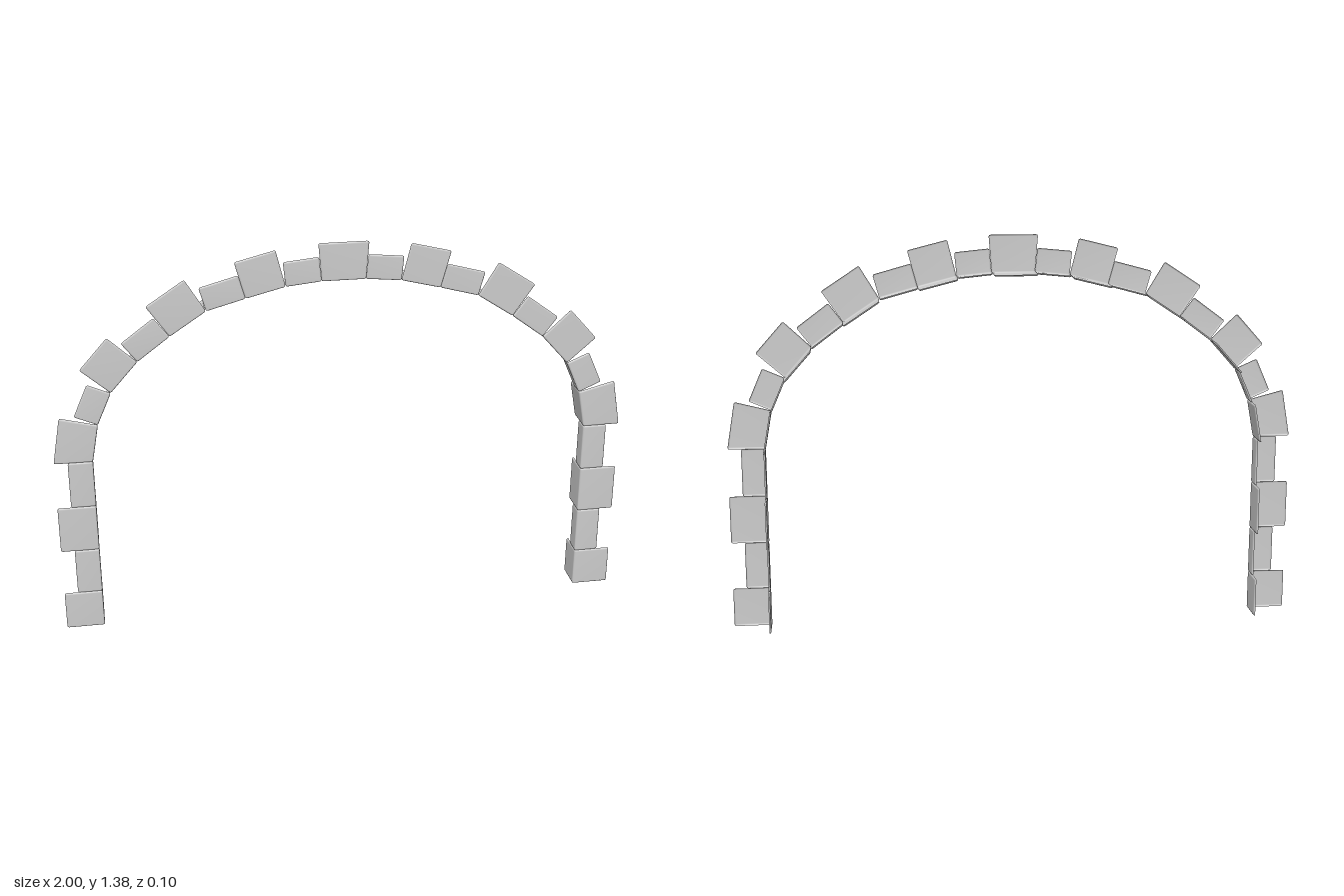
import * as THREE from 'three';

const FRONT = 0.052; // z of the front faces
const R = 0.006; // edge rounding
const material = new THREE.MeshStandardMaterial({ color: 0xcccccc, side: THREE.DoubleSide });

// Joints from the ground to the crown: x, y on the inner curve, direction of the joint in degrees
const joints = [
  [0.867, 0, 0], [0.867, 0.14, 0], [0.867, 0.308, 0], [0.867, 0.478, 0],
  [0.867, 0.648, 0], [0.842, 0.783, 14.6],
  [0.792, 0.897, 41.6], [0.698, 1.003, 43.4],
  [0.587, 1.086, 55.6], [0.463, 1.168, 59],
  [0.331, 1.204, 74.7], [0.196, 1.238, 76],
  [0.075, 1.25, 85.4], [-0.075, 1.25, 94.6],
];

const direction = (deg) => new THREE.Vector2(Math.cos(deg * Math.PI / 180), Math.sin(deg * Math.PI / 180));

// L-shaped shell stone: front face plus the face under the arch, with softly rounded edges
function stone(a, b, dirA, dirB, width, depth, name) {
  const back = FRONT - depth;
  // Section: outward distance, z, and the inset direction used at the ends
  const section = [
    [width, FRONT - R, -1, 0], [width - 0.3 * R, FRONT - 0.3 * R, -1, -1], [width - R, FRONT, 0, -1],
    [R, FRONT, 0, -1], [0.3 * R, FRONT - 0.3 * R, 0.7, -0.7], [0, FRONT - R, 1, 0],
    [0, back + R, 1, 0], [0.3 * R, back + 0.3 * R, 1, 1], [R, back, 0, 1],
  ];
  const e = R / a.distanceTo(b);
  const stations = [[0, R], [0.3 * e, 0.3 * R], [e, 0], [1 - e, 0], [1 - 0.3 * e, 0.3 * R], [1, R]];
  const positions = [], index = [], n = section.length;
  stations.forEach(([t, inset], i) => {
    const base = a.clone().lerp(b, t), dir = dirA.clone().lerp(dirB, t);
    section.forEach(([u, z, iu, iz], j) => {
      const p = base.clone().addScaledVector(dir, u + iu * inset);
      positions.push(p.x, p.y, z + iz * inset);
      if (i < stations.length - 1 && j < n - 1) {
        const k = i * n + j;
        index.push(k, k + n, k + 1, k + 1, k + n, k + n + 1);
      }
    });
  });
  const geometry = new THREE.BufferGeometry();
  geometry.setAttribute('position', new THREE.Float32BufferAttribute(positions, 3));
  geometry.setIndex(index);
  geometry.computeVertexNormals();
  const mesh = new THREE.Mesh(geometry, material);
  mesh.name = name;
  return mesh;
}

export function createModel() {
  const group = new THREE.Group();
  group.name = 'stoneArchSurround';
  const flip = (v) => new THREE.Vector2(-v.x, v.y);

  for (let i = 0; i < joints.length - 1; i++) {
    const [ax, ay, aDeg] = joints[i], [bx, by, bDeg] = joints[i + 1];
    const a = new THREE.Vector2(ax, ay), b = new THREE.Vector2(bx, by);
    const large = i % 2 === 0, keystone = i === joints.length - 2;
    // Small stones are square to their chord, large ones fan out along the joints
    const chord = b.clone().sub(a).normalize();
    const normal = new THREE.Vector2(chord.y, -chord.x);
    const dA = large ? direction(aDeg) : normal, dB = large ? direction(bDeg) : normal;
    const width = large ? 0.133 : 0.086, depth = large ? 0.104 : 0.06;
    const kind = keystone ? 'keystone' : large ? 'largeStone' : 'smallStone';

    group.add(stone(a, b, dA, dB, width, depth, keystone ? kind : `${kind}Left${i}`));
    // Mirrored half, run the other way so the faces keep pointing outward
    if (!keystone) group.add(stone(flip(b), flip(a), flip(dB), flip(dA), width, depth, `${kind}Right${i}`));
  }
  return group;
}
